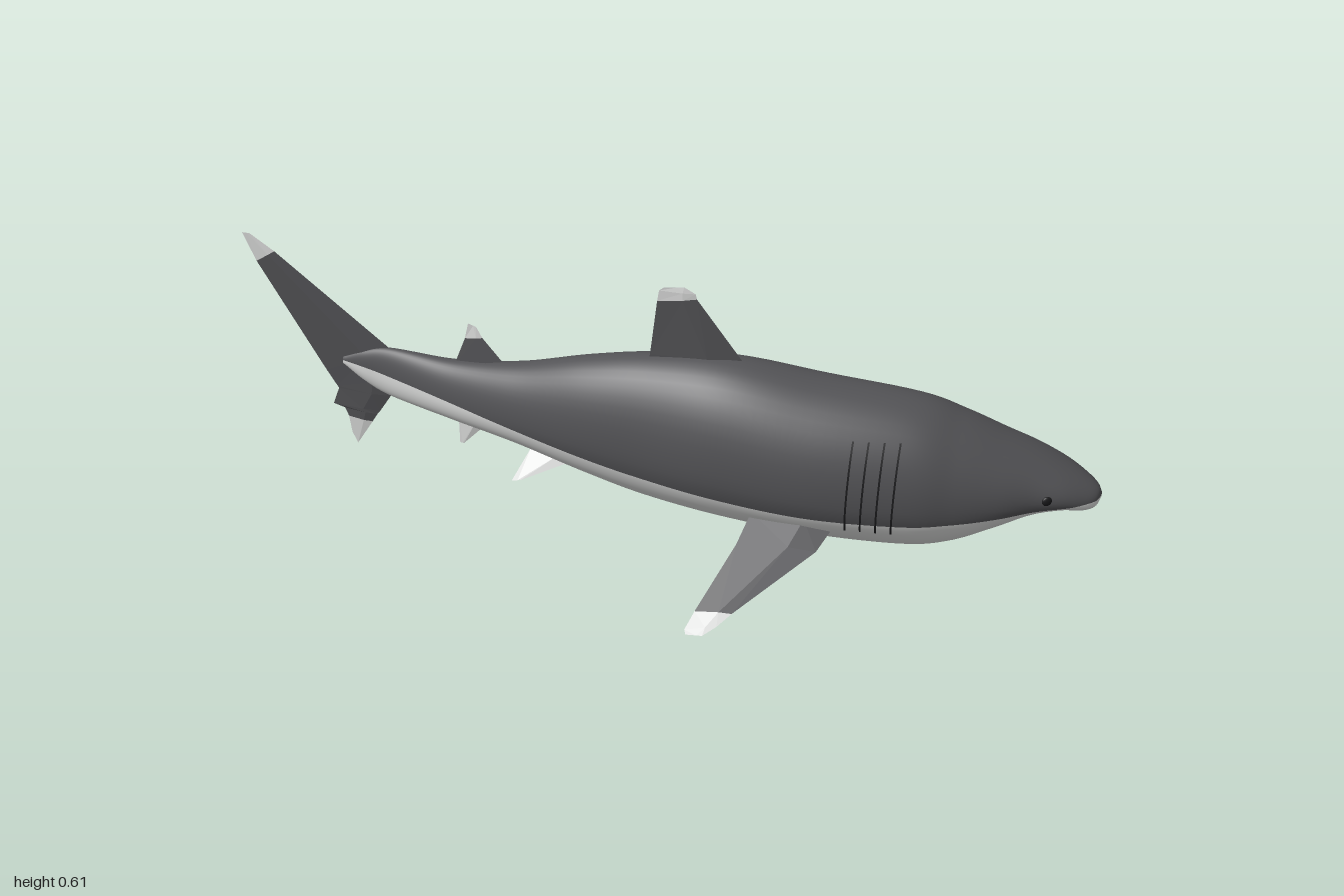
import * as THREE from 'three';

const material = (name, color) => {
  const m = new THREE.MeshStandardMaterial({ color, side: THREE.DoubleSide });
  m.name = name;
  return m;
};

// Body stations: x, top y, bottom y, centre z, half width, height of the colour line
const STATIONS = [
  [-0.765, 0.258, 0.238, -0.114, 0.008, 0.25],
  [-0.71, 0.283, 0.2, -0.112, 0.018, 0.247],
  [-0.64, 0.3, 0.172, -0.108, 0.029, 0.24],
  [-0.47, 0.31, 0.157, -0.078, 0.051, 0.228],
  [-0.3, 0.345, 0.145, -0.048, 0.075, 0.215],
  [-0.13, 0.4, 0.117, -0.024, 0.099, 0.2],
  [0.02, 0.435, 0.092, -0.012, 0.118, 0.188],
  [0.2, 0.455, 0.08, -0.005, 0.145, 0.183],
  [0.4, 0.432, 0.074, -0.012, 0.163, 0.18],
  [0.6, 0.408, 0.073, -0.03, 0.158, 0.183],
  [0.7, 0.373, 0.09, -0.045, 0.146, 0.19],
  [0.79, 0.332, 0.132, -0.06, 0.127, 0.198],
  [0.86, 0.3, 0.167, -0.073, 0.106, 0.205],
  [0.92, 0.27, 0.184, -0.078, 0.085, 0.21],
  [0.965, 0.245, 0.182, -0.08, 0.06, 0.213],
  [0.99, 0.228, 0.188, -0.08, 0.035, 0.212],
  [1.0, 0.215, 0.205, -0.08, 0.004, 0.21],
];
const curveOf = (a, b, c) => new THREE.CatmullRomCurve3(
  STATIONS.map((s) => new THREE.Vector3(s[a], s[b], s[c])), false, 'catmullrom', 0.5);
const heights = curveOf(0, 1, 2);
const widths = curveOf(3, 4, 5);

// Cross-section at curve parameter t
function section(t) {
  const h = heights.getPoint(t), w = widths.getPoint(t);
  const mid = h.z + (h.y - h.z) * 0.42;
  const angleAt = (y) => Math.asin(THREE.MathUtils.clamp(
    (y - mid) / (y > mid ? h.y - mid : mid - h.z), -0.98, 0.98));
  const point = (a, grow = 0) => new THREE.Vector3(h.x,
    mid + Math.sin(a) * ((Math.sin(a) > 0 ? h.y - mid : mid - h.z) + grow),
    w.x + Math.cos(a) * (w.y + grow));
  return { angleAt, point, seam: angleAt(w.z) };
}

// Find the cross-section at a given x
function sectionAtX(x) {
  let lo = 0, hi = 1;
  for (let i = 0; i < 30; i++) {
    const m = (lo + hi) / 2;
    if (heights.getPoint(m).x < x) lo = m; else hi = m;
  }
  return section(lo);
}

// Closed skin with shared vertices: dark back group and pale belly group
function bodyGeometry() {
  const rows = 128, half = 28, cols = half * 2;
  const pos = [], back = [], belly = [];
  for (let i = 0; i <= rows; i++) {
    const s = section(i / rows);
    for (let j = 0; j < cols; j++) {
      const a = j < half
        ? s.seam + (Math.PI - 2 * s.seam) * (j / half)
        : Math.PI - s.seam + (Math.PI + 2 * s.seam) * ((j - half) / half);
      pos.push(...s.point(a).toArray());
    }
  }
  for (let i = 0; i < rows; i++) {
    for (let j = 0; j < cols; j++) {
      const k = (j + 1) % cols;
      const a = i * cols + j, b = i * cols + k, c = a + cols, d = b + cols;
      (j < half ? back : belly).push(a, c, b, b, c, d);
    }
  }
  // end caps
  for (let j = 1; j < cols - 1; j++) {
    const n = rows * cols;
    belly.push(0, j, j + 1, n, n + j + 1, n + j);
  }
  const g = new THREE.BufferGeometry();
  g.setAttribute('position', new THREE.Float32BufferAttribute(pos, 3));
  g.setIndex([...back, ...belly]);
  g.addGroup(0, back.length, 0);
  g.addGroup(back.length, belly.length, 1);
  g.computeVertexNormals();
  return g;
}

// Fin from rows [leading point, trailing point, half thickness];
// sides[i] gives the material index for the +dir and -dir face of strip i
function finGeometry(rows, dir, sides) {
  const pos = [], groups = [];
  const d = new THREE.Vector3(...dir).normalize();
  const loops = rows.map(([l, t, th]) => {
    const lead = new THREE.Vector3(...l), trail = new THREE.Vector3(...t);
    const mid = lead.clone().lerp(trail, 0.35);
    return [lead, mid.clone().addScaledVector(d, th), trail, mid.clone().addScaledVector(d, -th)];
  });
  const g = new THREE.BufferGeometry();
  for (let i = 0; i < loops.length - 1; i++) {
    const A = loops[i], B = loops[i + 1];
    // make every face point away from the fin's middle plane
    const n = B[0].clone().sub(A[0]).cross(A[2].clone().sub(A[0]));
    const flip = n.dot(d) < 0;
    for (let k = 0; k < 4; k++) {
      const m = (k + 1) % 4, start = pos.length / 3;
      const quad = [A[k], B[k], A[m], A[m], B[k], B[m]];
      if (flip) quad.reverse();
      quad.forEach((p) => pos.push(p.x, p.y, p.z));
      groups.push([start, 6, sides[i][k < 2 ? 0 : 1]]);
    }
  }
  g.setAttribute('position', new THREE.Float32BufferAttribute(pos, 3));
  groups.forEach((q) => g.addGroup(...q));
  g.computeVertexNormals();
  return g;
}

export function createModel() {
  const group = new THREE.Group();
  const dark = material('slate skin', 0x545457);
  const pale = material('pale belly', 0xdcdddc);
  const black = material('near black', 0x1c1c1e);
  const skin = [dark, pale];
  const D = [0, 0], P = [1, 1];
  const add = (name, geometry, mat) => {
    const mesh = new THREE.Mesh(geometry, mat);
    mesh.name = name;
    group.add(mesh);
    return mesh;
  };

  add('body', bodyGeometry(), skin);

  // Upright fins
  add('dorsalFin', finGeometry([
    [[0.25, 0.42, -0.008], [0.01, 0.4, -0.008], 0.014],
    [[0.22, 0.46, -0.006], [0.02, 0.44, -0.006], 0.011],
    [[0.123, 0.588, -0.004], [0.036, 0.573, -0.004], 0.004],
    [[0.12, 0.6, -0.004], [0.04, 0.598, -0.004], 0.003],
    [[0.095, 0.613, -0.004], [0.05, 0.606, -0.004], 0],
  ], [0, 0, 1], [D, D, P, P]), skin);
  add('rearDorsalFin', finGeometry([
    [[-0.33, 0.32, -0.06], [-0.47, 0.295, -0.08], 0.008],
    [[-0.393, 0.383, -0.072], [-0.438, 0.373, -0.078], 0.003],
    [[-0.408, 0.408, -0.075], [-0.428, 0.413, -0.077], 0],
  ], [0, 0, 1], [D, P]), skin);
  add('analFin', finGeometry([
    [[-0.38, 0.17, -0.064], [-0.465, 0.18, -0.078], 0.007],
    [[-0.455, 0.09, -0.075], [-0.465, 0.09, -0.077], 0],
  ], [0, 0, 1], [P]), skin);

  // Tail fin, upper and lower lobes
  add('tailFinUpper', finGeometry([
    [[-0.64, 0.22, -0.11], [-0.79, 0.17, -0.116], 0.007],
    [[-0.645, 0.3, -0.11], [-0.815, 0.21, -0.117], 0.007],
    [[-0.92, 0.508, -0.121], [-0.97, 0.476, -0.123], 0.002],
    [[-0.98, 0.545, -0.124], [-1.0, 0.545, -0.125], 0],
  ], [0, 0, 1], [D, D, P]), skin);
  add('tailFinLower', finGeometry([
    [[-0.64, 0.22, -0.11], [-0.79, 0.17, -0.116], 0.007],
    [[-0.65, 0.168, -0.11], [-0.787, 0.165, -0.116], 0.006],
    [[-0.682, 0.12, -0.112], [-0.805, 0.12, -0.116], 0.004],
    [[-0.69, 0.11, -0.112], [-0.776, 0.112, -0.116], 0.004],
    [[-0.705, 0.086, -0.113], [-0.768, 0.09, -0.116], 0.003],
    [[-0.75, 0.017, -0.115], [-0.763, 0.045, -0.116], 0],
  ], [0, 0, 1], [D, D, D, D, P]), skin);

  for (const s of [1, -1]) {
    const side = s > 0 ? 'right' : 'left';

    // Pectoral fin: dark above with a pale tip, pale below
    const wing = (x, z) => [x, 0.004 + (0.375 - z) * 0.56, s * z];
    add(side + 'PectoralFin', finGeometry([
      [wing(0.46, 0.115), wing(0.28, 0.11), 0.012],
      [wing(0.435, 0.17), wing(0.265, 0.18), 0.01],
      [wing(0.29, 0.32), wing(0.212, 0.327), 0.004],
      [wing(0.265, 0.35), wing(0.2, 0.366), 0.002],
      [wing(0.24, 0.372), wing(0.205, 0.375), 0],
    ], [0, 1, s * 0.56], [[0, 1], [0, 1], P, P]), skin);

    // Pelvic fin
    const c = -0.047;
    add(side + 'PelvicFin', finGeometry([
      [[-0.15, 0.145, c + s * 0.05], [-0.26, 0.155, c + s * 0.045], 0.007],
      [[-0.265, 0.105, c + s * 0.107], [-0.285, 0.103, c + s * 0.112], 0],
    ], [0, 1, s * 0.7], [P]), skin);

    // Gill slits: thin ribbons lying on the flank
    for (let i = 0; i < 4; i++) {
      const x = 0.487 + i * 0.032, pos = [], index = [], n = 14;
      for (let j = 0; j <= n; j++) {
        for (const e of [-0.002, 0.002]) {
          const sec = sectionAtX(x + e);
          const a = sec.angleAt(0.16 + (0.2 * j) / n);
          pos.push(...sec.point(s > 0 ? a : Math.PI - a, 0.002).toArray());
        }
        if (j < n) index.push(2 * j, 2 * j + 1, 2 * j + 2, 2 * j + 2, 2 * j + 1, 2 * j + 3);
      }
      const g = new THREE.BufferGeometry();
      g.setAttribute('position', new THREE.Float32BufferAttribute(pos, 3));
      g.setIndex(s > 0 ? index : index.reverse());
      g.computeVertexNormals();
      add(side + 'GillSlit' + (i + 1), g, black);
    }

    // Eye
    const head = sectionAtX(0.89), a = head.angleAt(0.234);
    const eye = add(side + 'Eye', new THREE.SphereGeometry(0.011, 16, 12), black);
    eye.scale.z = 0.5;
    eye.position.copy(head.point(s > 0 ? a : Math.PI - a));
    eye.rotation.y = s > 0 ? 0.45 : -0.45;
  }
  return group;
}
